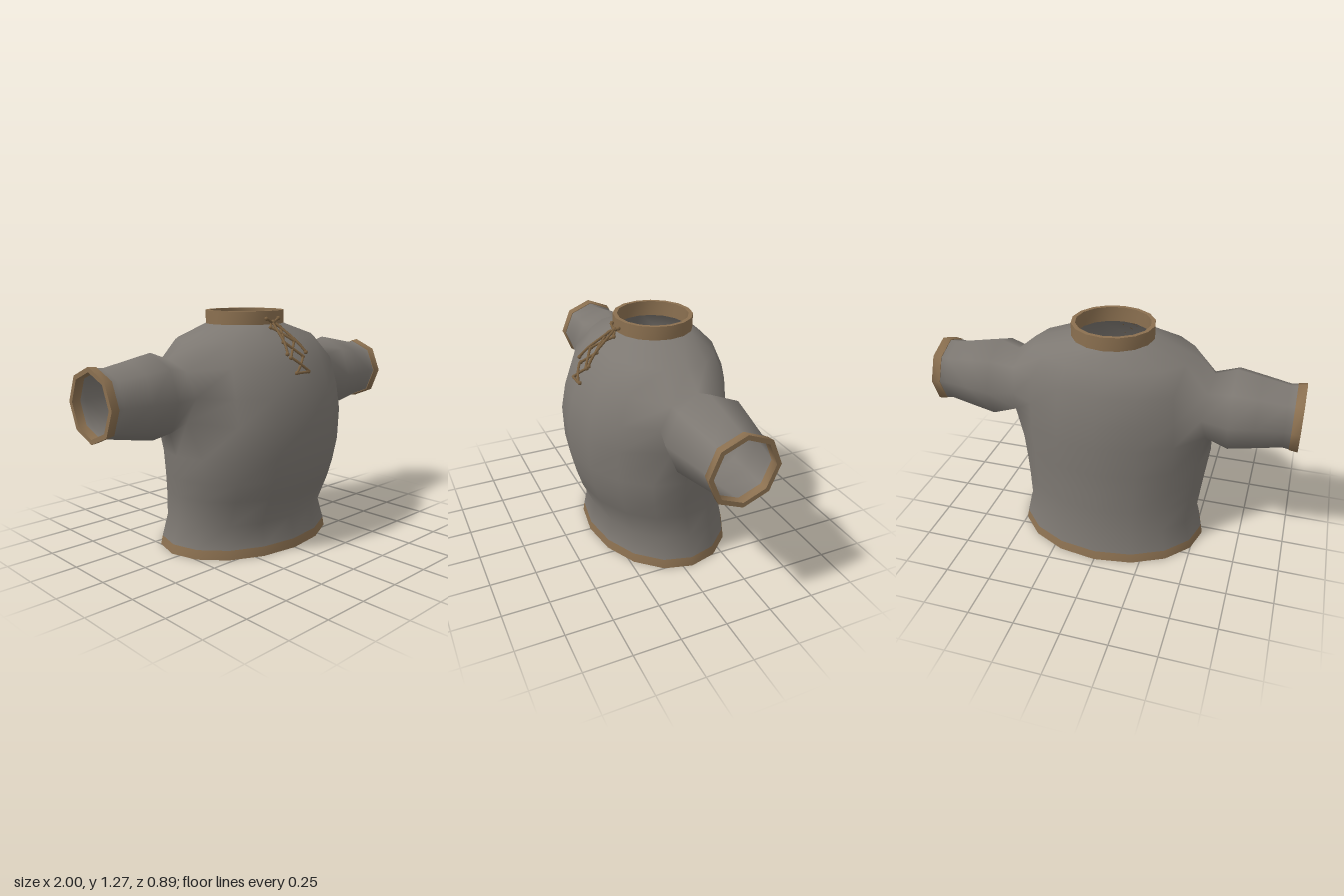
import * as THREE from 'three';
import { toCreasedNormals } from 'three/addons/utils/BufferGeometryUtils.js';

const SIDES = 16;
const ARM_Y = 0.865, ARM_Z = -0.04;

// Torso cross-sections: height, half width, front z, back z
const ROWS = [
  [0.05, 0.53, 0.34, -0.435], [0.17, 0.495, 0.312, -0.41], [0.32, 0.512, 0.38, -0.41],
  [0.42, 0.525, 0.412, -0.41], [0.55, 0.543, 0.437, -0.41], [0.72, 0.55, 0.445, -0.42],
  [0.86, 0.545, 0.418, -0.41], [1.01, 0.53, 0.365, -0.39], [1.13, 0.44, 0.27, -0.34],
  [1.205, 0.215, 0.158, -0.255],
];

// Oval around the vertical axis
function oval([y, a, front, back], inset = 0) {
  const cz = (front + back) / 2, b = (front - back) / 2 - inset;
  return Array.from({ length: SIDES }, (_, i) => {
    const t = (i / SIDES) * Math.PI * 2;
    return [(a - inset) * Math.sin(t), y, cz + b * Math.cos(t)];
  });
}

// Octagon around the sleeve axis
function octagon(x, r) {
  return Array.from({ length: 8 }, (_, k) => {
    const t = (k / 8) * Math.PI * 2;
    return [x, ARM_Y + r * Math.cos(t), ARM_Z + r * Math.sin(t)];
  });
}

function geometryFrom(points, index) {
  const g = new THREE.BufferGeometry();
  g.setAttribute('position', new THREE.Float32BufferAttribute(points.flat(), 3));
  g.setIndex(index);
  g.computeVertexNormals();
  return g;
}

// Two triangles between neighbouring rings of vertex ids
function quad(index, a, b, e, d, flip = false) {
  if (flip) index.push(a, e, b, a, d, e);
  else index.push(a, b, e, a, e, d);
}

// Thick band: four rings joined into a closed loop
function band(rings) {
  const n = rings[0].length, m = rings.length, index = [];
  for (let r = 0; r < m; r++) {
    for (let c = 0; c < n; c++) {
      const c1 = (c + 1) % n, r1 = (r + 1) % m;
      quad(index, r * n + c, r * n + c1, r1 * n + c1, r1 * n + c);
    }
  }
  return toCreasedNormals(geometryFrom(rings.flat(), index), 0.9);
}

// Torso and sleeves share vertices around each armhole
function garment() {
  const points = ROWS.flatMap((row) => oval(row));
  const index = [];
  const id = (r, c) => r * SIDES + ((c + SIDES) % SIDES);
  const inHole = (r, c) => (r === 5 || r === 6) && [3, 4, 11, 12].includes(c);
  for (let r = 0; r < ROWS.length - 1; r++) {
    for (let c = 0; c < SIDES; c++) {
      if (!inHole(r, c)) quad(index, id(r, c), id(r, c + 1), id(r + 1, c + 1), id(r + 1, c));
    }
  }
  // armhole boundary, from the top towards the front
  const edge = [[7, 4], [7, 3], [6, 3], [5, 3], [5, 4], [5, 5], [6, 5], [7, 5]];
  const holeX = [0.54, 0.525, 0.51, 0.53, 0.55, 0.53, 0.51, 0.525];
  for (const side of [1, -1]) {
    let previous = edge.map(([r, c]) => id(r, side > 0 ? c : SIDES - c));
    octagon(0, 0.182).forEach((p, k) => { points[previous[k]] = [side * holeX[k], p[1], p[2]]; });
    for (const [x, r] of [[0.65, 0.222], [0.78, 0.198], [0.92, 0.171], [0.96, 0.176]]) {
      const next = octagon(x, r).map(([px, y, z]) => points.push([side * px, y, z]) - 1);
      for (let k = 0; k < 8; k++) {
        const k1 = (k + 1) % 8;
        quad(index, previous[k], previous[k1], next[k1], next[k], side < 0);
      }
      previous = next;
    }
  }
  return geometryFrom(points, index);
}

// Front surface depth along the centre line
function chestZ(y) {
  if (y >= 1.205) return 0.158;
  const i = ROWS.findIndex((row) => row[0] > y);
  const [p, q] = [ROWS[i - 1], ROWS[i]];
  return THREE.MathUtils.mapLinear(y, p[0], q[0], p[2], q[2]);
}

export function createModel() {
  const cloth = new THREE.MeshStandardMaterial({ color: 0x7d7872, side: THREE.DoubleSide });
  cloth.name = 'grey cloth';
  const trim = new THREE.MeshStandardMaterial({ color: 0x8b7050 });
  trim.name = 'tan trim';
  const cord = new THREE.MeshStandardMaterial({ color: 0x7a6040 });
  cord.name = 'brown cord';

  const model = new THREE.Group();
  model.name = 'shirt';
  const add = (name, geometry, material, parent = model) => {
    const mesh = new THREE.Mesh(geometry, material);
    mesh.name = name;
    parent.add(mesh);
    return mesh;
  };

  add('torsoAndSleeves', garment(), cloth);

  // Hem and collar bands
  const hem = [0, 0.54, 0.347, -0.445];
  add('hem', band([oval(hem), oval(ROWS[0]), oval(ROWS[0], 0.035), oval(hem, 0.035)]), trim);
  const low = [1.195, 0.22, 0.16, -0.258], high = [1.275, 0.22, 0.16, -0.258];
  add('collar', band([oval(low), oval(high), oval(high, 0.022), oval(low, 0.022)]), trim);

  // Cuffs
  const cuff = band([octagon(0.955, 0.179), octagon(1, 0.185), octagon(1, 0.16), octagon(0.955, 0.16)]);
  add('leftCuff', cuff, trim);
  add('rightCuff', cuff, trim).scale.x = -1;

  // Chest lacing that follows the cloth
  const lacing = new THREE.Group();
  lacing.name = 'lacing';
  model.add(lacing);
  const onChest = (x, y, lift = 0.01) => new THREE.Vector3(x, y, chestZ(y) + lift);
  const strand = (name, x0, y0, x1, y1, lift) => {
    const pts = [0, 0.33, 0.67, 1].map((t) =>
      onChest(THREE.MathUtils.lerp(x0, x1, t), THREE.MathUtils.lerp(y0, y1, t), lift));
    const curve = new THREE.CatmullRomCurve3(pts);
    add(name, new THREE.TubeGeometry(curve, 6, 0.007, 6), cord, lacing);
  };
  const eyelet = new THREE.SphereGeometry(0.011, 8, 6);
  const holes = [[0.045, 0.97], [0.045, 1.045], [0.04, 1.12], [0.035, 1.19], [0.045, 1.235]];
  for (const side of [1, -1]) {
    holes.forEach(([x, y], i) => {
      add('eyelet', eyelet, cord, lacing).position.copy(onChest(side * x, y, 0.006));
      if (i > 0) strand('crossLace', side * holes[i - 1][0], holes[i - 1][1], -side * x, y, 0.01 + side * 0.003);
    });
    // loose ends hanging from the knot
    strand('looseEnd', side * 0.01, 1.21, side * 0.07, 1.065, 0.022);
    add('endKnot', eyelet, cord, lacing).position.copy(onChest(side * 0.07, 1.065, 0.02));
  }
  strand('bottomLace', -0.045, 0.97, 0.045, 0.97, 0.012);
  add('knot', new THREE.SphereGeometry(0.014, 8, 6), cord, lacing).position.copy(onChest(0, 1.215, 0.012));

  return model;
}
